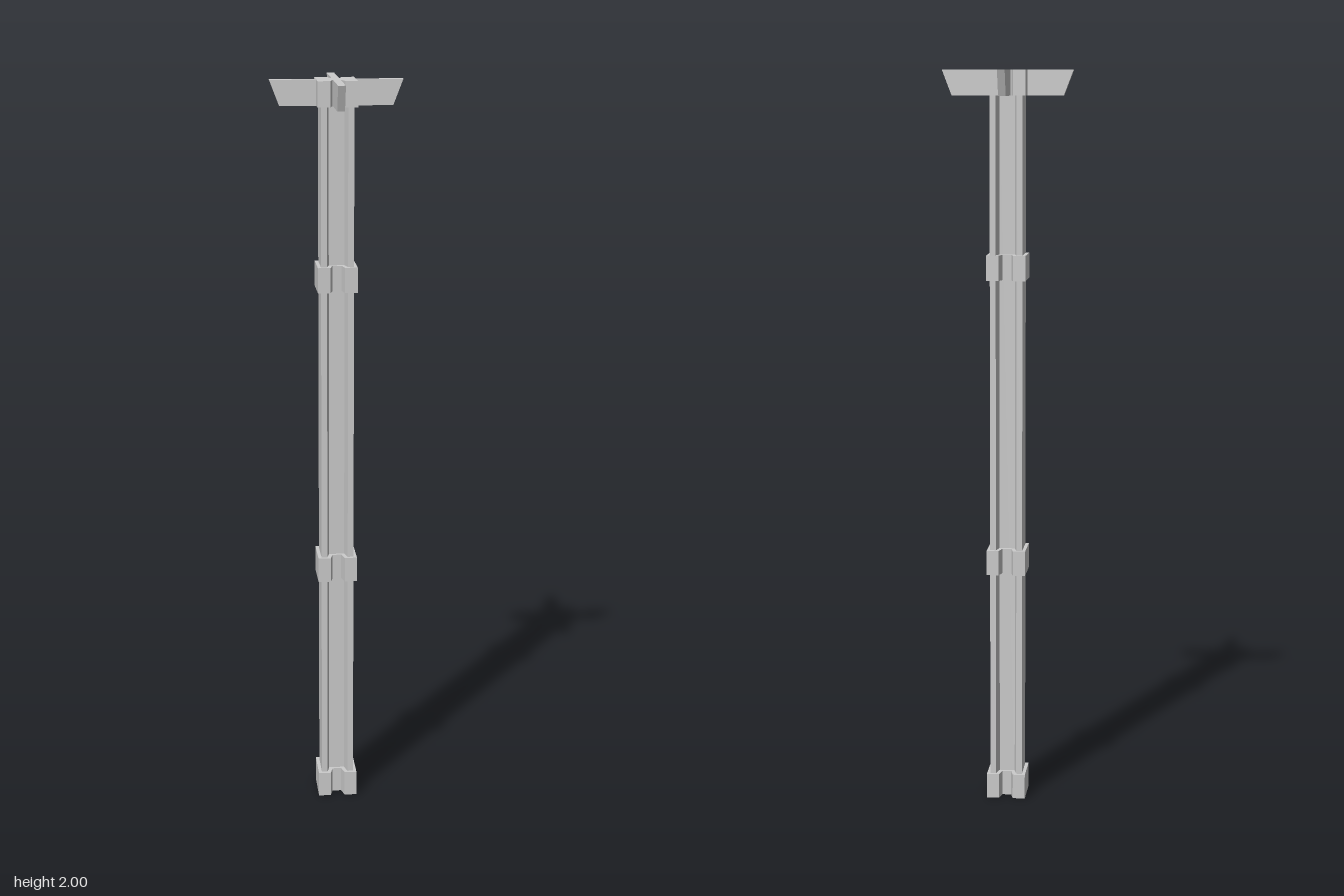
import * as THREE from 'three';

const material = new THREE.MeshStandardMaterial({ color: 0xcccccc, flatShading: true });

// Column section: a block with a tapered groove in its front and back.
// hx, hz: half sizes; mouth, floor: groove half widths; depth: z of groove floor.
function groovedPrism(name, { hx, hz, mouth, floor, depth }, y0, y1) {
  const half = [[hx, hz], [mouth, hz], [floor, depth], [-floor, depth], [-mouth, hz], [-hx, hz]];
  const points = [...half, ...half.map(([x, z]) => [-x, -z])];
  const shape = new THREE.Shape(points.map(([x, z]) => new THREE.Vector2(x, z)));
  const geometry = new THREE.ExtrudeGeometry(shape, { depth: y1 - y0, bevelEnabled: false });
  geometry.rotateX(-Math.PI / 2).translate(0, y0, 0);
  const mesh = new THREE.Mesh(geometry, material);
  mesh.name = name;
  return mesh;
}

// Trapezoid plate spanning both sides of the column head
function bracket(name, angle) {
  const shape = new THREE.Shape([[-0.15, 1.932], [0.15, 1.932], [0.176, 2], [-0.176, 2]]
    .map(([x, y]) => new THREE.Vector2(x, y)));
  const geometry = new THREE.ExtrudeGeometry(shape, { depth: 0.02, bevelEnabled: false });
  geometry.translate(0, 0, -0.01).rotateY(angle);
  const mesh = new THREE.Mesh(geometry, material);
  mesh.name = name;
  return mesh;
}

export function createModel() {
  const group = new THREE.Group();
  group.name = 'column';

  // Long grooved shaft
  const shaft = { hx: 0.044, hz: 0.047, mouth: 0.028, floor: 0.021, depth: 0.017 };
  group.add(groovedPrism('shaft', shaft, 0.01, 1.99));

  // Wider bands: foot, two collars and head
  const band = { hx: 0.053, hz: 0.0565, mouth: 0.0195, floor: 0.012, depth: 0.026 };
  const bands = [['foot', 0, 0.068], ['lowerCollar', 0.635, 0.703], ['upperCollar', 1.442, 1.51], ['head', 1.932, 2]];
  for (const [name, y0, y1] of bands) group.add(groovedPrism(name, band, y0, y1));

  // Crossed brackets at the top
  group.add(bracket('sideBrackets', 0), bracket('frontBackBrackets', Math.PI / 2));

  return group;
}
